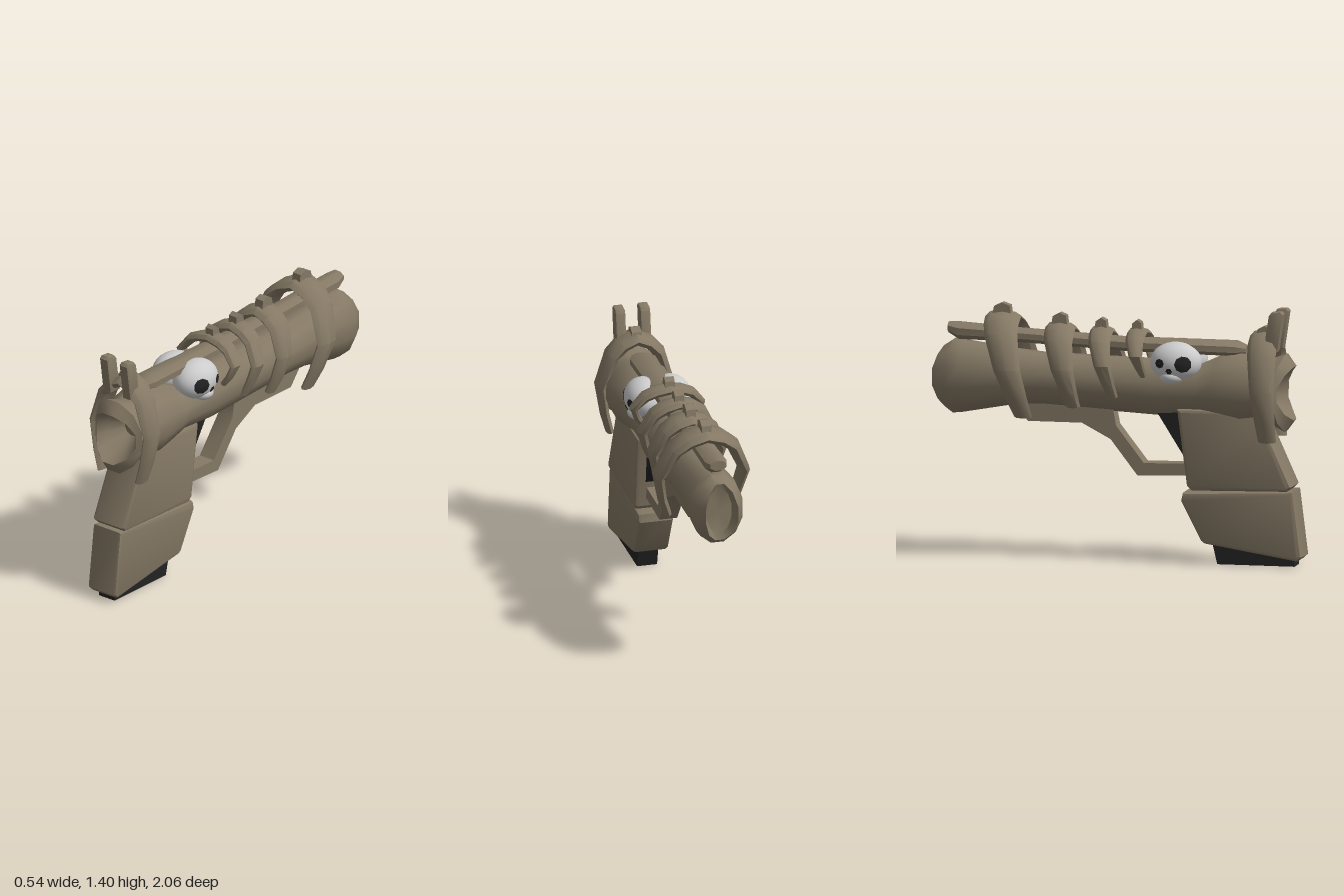
import * as THREE from 'three';
import { toCreasedNormals } from 'three/addons/utils/BufferGeometryUtils.js';

const bone = new THREE.MeshStandardMaterial({ color: 0x857965 });
bone.name = 'agedBone';
const pale = new THREE.MeshStandardMaterial({ color: 0xcccccc });
pale.name = 'paleSkull';
const dark = new THREE.MeshStandardMaterial({ color: 0x222222 });
dark.name = 'darkMetal';

function mesh(name, geometry, material, parent) {
  const m = new THREE.Mesh(geometry, material);
  m.name = name;
  parent.add(m);
  return m;
}

// Skin a list of rings (each turning right-handed about the travel direction), with end caps
function loft(rings, crease = 0.6) {
  const n = rings[0].length, pos = [], idx = [];
  const centre = (r) => r.reduce((s, p) => s.add(p), new THREE.Vector3()).divideScalar(n);
  rings.forEach((r) => r.forEach((p) => pos.push(p.x, p.y, p.z)));
  const last = rings.length - 1, c0 = rings.length * n, c1 = c0 + 1;
  [rings[0], rings[last]].forEach((r) => pos.push(...centre(r).toArray()));
  for (let j = 0; j < n; j++) {
    const k = (j + 1) % n;
    for (let i = 0; i < last; i++) {
      const a = i * n, b = a + n;
      idx.push(a + j, a + k, b + j, a + k, b + k, b + j);
    }
    idx.push(c0, k, j, c1, last * n + j, last * n + k);
  }
  const g = new THREE.BufferGeometry();
  g.setAttribute('position', new THREE.Float32BufferAttribute(pos, 3));
  g.setIndex(idx);
  return toCreasedNormals(g, crease);
}

// Rings along z: [z, centre y, half width, half height, how far the sides are cut back]
function tubeZ(sections, n, crease) {
  return loft(sections.map(([z, y, hx, hy, cut = 0]) => Array.from({ length: n }, (_, j) => {
    const a = ((j + 0.5) / n) * Math.PI * 2, c = Math.cos(a), s = Math.sin(a);
    const k = 1 / Math.cos(Math.PI / n);
    return new THREE.Vector3(c * hx * k, y + s * hy * k, z - cut * c * c);
  })), crease);
}

// Side outline of [z, y] points, extruded evenly across x
function slab(points, half, bevel = 0) {
  const shape = new THREE.Shape(points.map(([z, y]) => new THREE.Vector2(z, y)));
  const g = new THREE.ExtrudeGeometry(shape, {
    depth: 2 * (half - bevel), bevelEnabled: bevel > 0, bevelSize: bevel,
    bevelThickness: bevel, bevelOffset: -bevel, bevelSegments: 2,
  });
  g.translate(0, 0, -(half - bevel));
  g.rotateY(-Math.PI / 2);
  return toCreasedNormals(g, 0.6);
}

// Rib arching over the barrel from one tip to the other
function rib({ top, tip, z, zTip, half, width, tipWidth, thick }) {
  const drop = [0, 0.06, 0.17, 0.5, 0.8, 1], out = [0, 0.38, 0.68, 1, 0.86, 0.7];
  const side = drop.map((f, i) => ({
    p: new THREE.Vector3(out[i] * half, top + (tip - top) * f, z + (zTip - z) * f),
    w: width + (tipWidth - width) * f, t: thick * (1 - 0.45 * f),
  }));
  const mirrored = side.slice(1).map((s) => ({ ...s, p: s.p.clone().setX(-s.p.x) }));
  const path = [...side.reverse(), ...mirrored];
  return loft(path.map(({ p, w, t }, i) => {
    const a = path[Math.max(i - 1, 0)].p, b = path[Math.min(i + 1, path.length - 1)].p;
    const nrm = new THREE.Vector2(b.y - a.y, a.x - b.x).normalize();
    return Array.from({ length: 8 }, (_, j) => {
      const q = (j / 8) * Math.PI * 2, u = Math.cos(q) * w / 2, v = Math.sin(q) * t / 2;
      return new THREE.Vector3(p.x + nrm.x * v, p.y + nrm.y * v, p.z + u);
    });
  }), 0.7);
}

// Skull set against one side of the barrel, facing outward
function skull(side) {
  const g = new THREE.Group();
  g.name = side > 0 ? 'leftSkull' : 'rightSkull';
  const ball = (name, y, z, rx, ry, rz) => {
    const m = mesh(name, new THREE.SphereGeometry(1, 24, 16), pale, g);
    m.scale.set(rx, ry, rz);
    m.position.set(side * 0.075, y, z);
  };
  ball('cranium', 1.105, 0.3, 0.11, 0.11, 0.142);
  ball('jaw', 1.03, 0.285, 0.1, 0.05, 0.075);
  // Dark hollows laid on the curved face
  const hollow = (name, z, y, r, sides) => {
    const geo = new THREE.RingGeometry(0.0005, r, sides, 4);
    const p = geo.attributes.position;
    for (let i = 0; i < p.count; i++) {
      const pz = z - p.getX(i), py = y + p.getY(i);
      const e = 1 - ((py - 1.105) / 0.11) ** 2 - ((pz - 0.3) / 0.142) ** 2;
      p.setXYZ(i, 0.08 + 0.11 * Math.sqrt(Math.max(e, 0)), py, pz);
    }
    if (side < 0) {
      geo.scale(-1, 1, 1);
      const ix = geo.index.array;
      for (let i = 0; i < ix.length; i += 3) [ix[i], ix[i + 1]] = [ix[i + 1], ix[i]];
    }
    geo.computeVertexNormals();
    mesh(name, geo, dark, g);
  };
  hollow('frontEye', 0.36, 1.105, 0.045, 9);
  hollow('rearEye', 0.23, 1.107, 0.026, 8);
  hollow('nose', 0.284, 1.066, 0.018, 6);
  return g;
}

export function createModel() {
  const model = new THREE.Group();
  model.name = 'bonePistol';

  // Long bone barrel with a flared, hollow, notched muzzle
  mesh('barrel', tubeZ([
    [-0.99, 0.98, 0.07, 0.13], [-1, 0.98, 0.09, 0.165, 0.06], [-0.95, 0.98, 0.135, 0.2, 0.03],
    [-0.9, 0.98, 0.145, 0.195], [-0.65, 0.985, 0.135, 0.155], [-0.45, 0.98, 0.135, 0.14],
    [0.2, 0.955, 0.135, 0.15], [0.42, 0.955, 0.14, 0.13], [0.52, 0.965, 0.16, 0.165],
    [0.66, 0.965, 0.18, 0.195], [0.8, 0.955, 0.165, 0.165], [0.9, 0.945, 0.165, 0.21, 0.05],
    [0.95, 0.945, 0.14, 0.145, 0.08], [0.84, 0.945, 0.11, 0.11, 0.02], [0.74, 0.945, 0.05, 0.05],
  ], 12, 0.75), bone, model);

  // Thin bone lying along the top
  mesh('topBone', tubeZ([
    [-0.98, 1.245, 0.045, 0.028], [-0.92, 1.228, 0.06, 0.045], [-0.6, 1.215, 0.055, 0.037],
    [0, 1.185, 0.06, 0.037], [0.62, 1.18, 0.072, 0.04], [0.68, 1.175, 0.045, 0.022],
  ], 8, 0.7), bone, model);

  // Ribs, each with a small spur on its crown
  const ribs = [
    { top: 1.25, tip: 0.69, z: 0.78, zTip: 0.82, half: 0.19, width: 0.17, tipWidth: 0.1, thick: 0.08, spur: 1.31 },
    { top: 1.25, tip: 1.03, z: 0.07, zTip: 0.13, half: 0.19, width: 0.11, tipWidth: 0.04, thick: 0.06, spur: 1.32 },
    { top: 1.25, tip: 0.91, z: -0.13, zTip: -0.04, half: 0.19, width: 0.13, tipWidth: 0.06, thick: 0.07, spur: 1.325 },
    { top: 1.26, tip: 0.85, z: -0.36, zTip: -0.26, half: 0.19, width: 0.17, tipWidth: 0.08, thick: 0.08, spur: 1.345 },
    { top: 1.31, tip: 0.79, z: -0.68, zTip: -0.53, half: 0.24, width: 0.2, tipWidth: 0.1, thick: 0.08, spur: 1.39 },
  ];
  ribs.forEach((r, i) => {
    mesh('rib' + (i + 1), rib(r), bone, model);
    const w = r.width * 0.28;
    mesh('ribSpur' + (i + 1), slab([
      [r.z + w, r.top - 0.02], [r.z + w * 0.75, r.spur - 0.015], [r.z, r.spur],
      [r.z - w * 0.8, r.spur - 0.02], [r.z - w * 1.1, r.top - 0.02],
    ], 0.027), bone, model);
  });

  // Twin prongs of the front sight
  for (const s of [-1, 1]) {
    const prong = mesh(s > 0 ? 'leftSightProng' : 'rightSightProng', slab([
      [0.87, 1.18], [0.9, 1.385], [0.885, 1.4], [0.835, 1.395], [0.82, 1.375], [0.79, 1.18],
    ], 0.028, 0.008), bone, model);
    prong.position.x = s * 0.07;
    model.add(skull(s));
  }

  // Two-piece grip
  mesh('upperGrip', slab([
    [0.945, 0.44], [0.92, 0.415], [0.39, 0.405], [0.365, 0.43], [0.31, 0.85], [0.76, 0.85],
  ], 0.112, 0.02), bone, model);
  mesh('lowerGrip', slab([
    [1, 0.055], [0.975, 0.032], [0.46, 0.115], [0.44, 0.13], [0.33, 0.345], [0.34, 0.39],
    [0.955, 0.415],
  ], 0.1, 0.02), bone, model);
  mesh('magazine', slab([[0.955, 0], [0.525, 0], [0.49, 0.15], [0.94, 0.15]], 0.056), dark, model);
  mesh('trigger', slab([[0.36, 0.56], [0.33, 0.6], [0.185, 0.83], [0.36, 0.84]], 0.056), dark, model);

  // Angular trigger guard joining the underside of the barrel
  mesh('triggerGuard', slab([
    [0.4, 0.48], [0.08, 0.47], [-0.07, 0.665], [-0.23, 0.75], [-0.53, 0.75], [-0.61, 0.85],
    [-0.06, 0.85], [-0.04, 0.74], [0.115, 0.54], [0.4, 0.545],
  ], 0.05), bone, model);

  return model;
}
